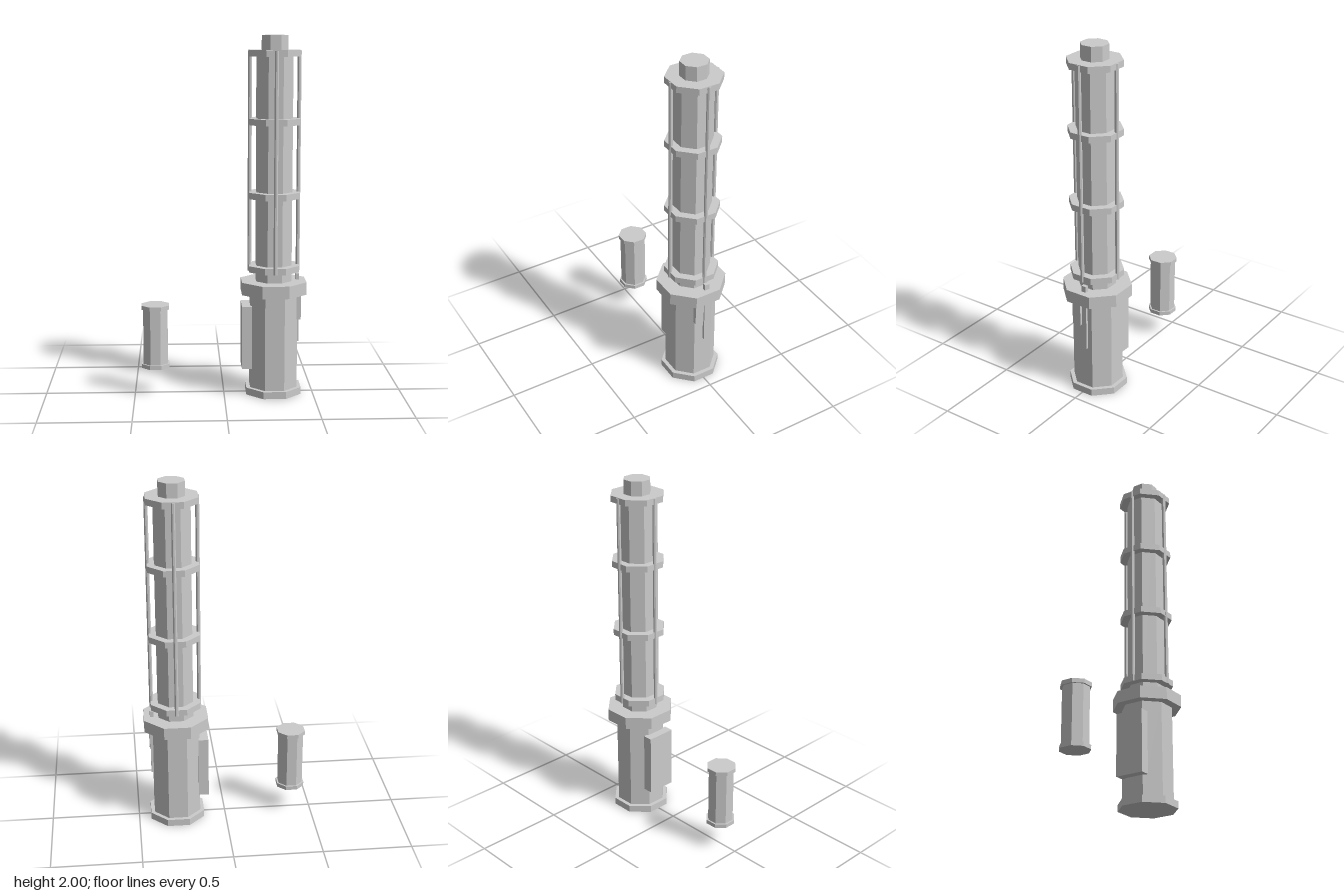
import * as THREE from 'three';

export function createModel() {
  const model = new THREE.Group();
  const material = new THREE.MeshStandardMaterial({ color: 0xcccccc, flatShading: true });

  function add(parent, name, geometry, x, y, z) {
    const mesh = new THREE.Mesh(geometry, material);
    mesh.name = name;
    mesh.position.set(x, y, z);
    parent.add(mesh);
  }

  // Upright octagonal prism, flat sides facing the axes, sized by half its width across flats
  function prism(parent, name, half, y0, y1, x = 0, z = 0) {
    const r = half / Math.cos(Math.PI / 8);
    const geometry = new THREE.CylinderGeometry(r, r, y1 - y0, 8).rotateY(Math.PI / 8);
    add(parent, name, geometry, x, (y0 + y1) / 2, z);
  }

  function box(parent, name, x0, x1, y0, y1, z0, z1) {
    add(parent, name, new THREE.BoxGeometry(x1 - x0, y1 - y0, z1 - z0),
      (x0 + x1) / 2, (y0 + y1) / 2, (z0 + z1) / 2);
  }

  // Tall column
  const column = new THREE.Group();
  column.name = 'column';
  column.position.x = 0.278;
  model.add(column);

  prism(column, 'basePlate', 0.153, 0, 0.04);
  prism(column, 'lowerBody', 0.131, 0.04, 0.575);
  prism(column, 'collar', 0.179, 0.575, 0.645);
  prism(column, 'innerTube', 0.098, 0.645, 1.9);
  for (const y of [0.70, 1.11, 1.515, 1.885]) prism(column, 'ring', 0.139, y, y + 0.035);
  prism(column, 'topCap', 0.07, 1.92, 2);

  // Four rods running through the rings
  for (let i = 0; i < 4; i++) {
    const a = i * Math.PI / 2;
    prism(column, 'rod', 0.0105, 0.70, 1.917, 0.135 * Math.cos(a), 0.135 * Math.sin(a));
  }

  // Box on one side, switch and lever on the other
  box(column, 'sideBox', -0.179, -0.123, 0.155, 0.51, -0.083, 0.083);
  box(column, 'switchBlock', 0.12, 0.15, 0.43, 0.57, 0.008, 0.06);
  box(column, 'lever', 0.125, 0.145, 0.29, 0.68, -0.028, 0);

  // Small separate canister
  const canister = new THREE.Group();
  canister.name = 'canister';
  canister.position.x = -0.383;
  model.add(canister);
  prism(canister, 'canisterBottomCap', 0.077, 0.152, 0.175);
  prism(canister, 'canisterBody', 0.068, 0.175, 0.487);
  prism(canister, 'canisterTopCap', 0.077, 0.487, 0.51);

  return model;
}
